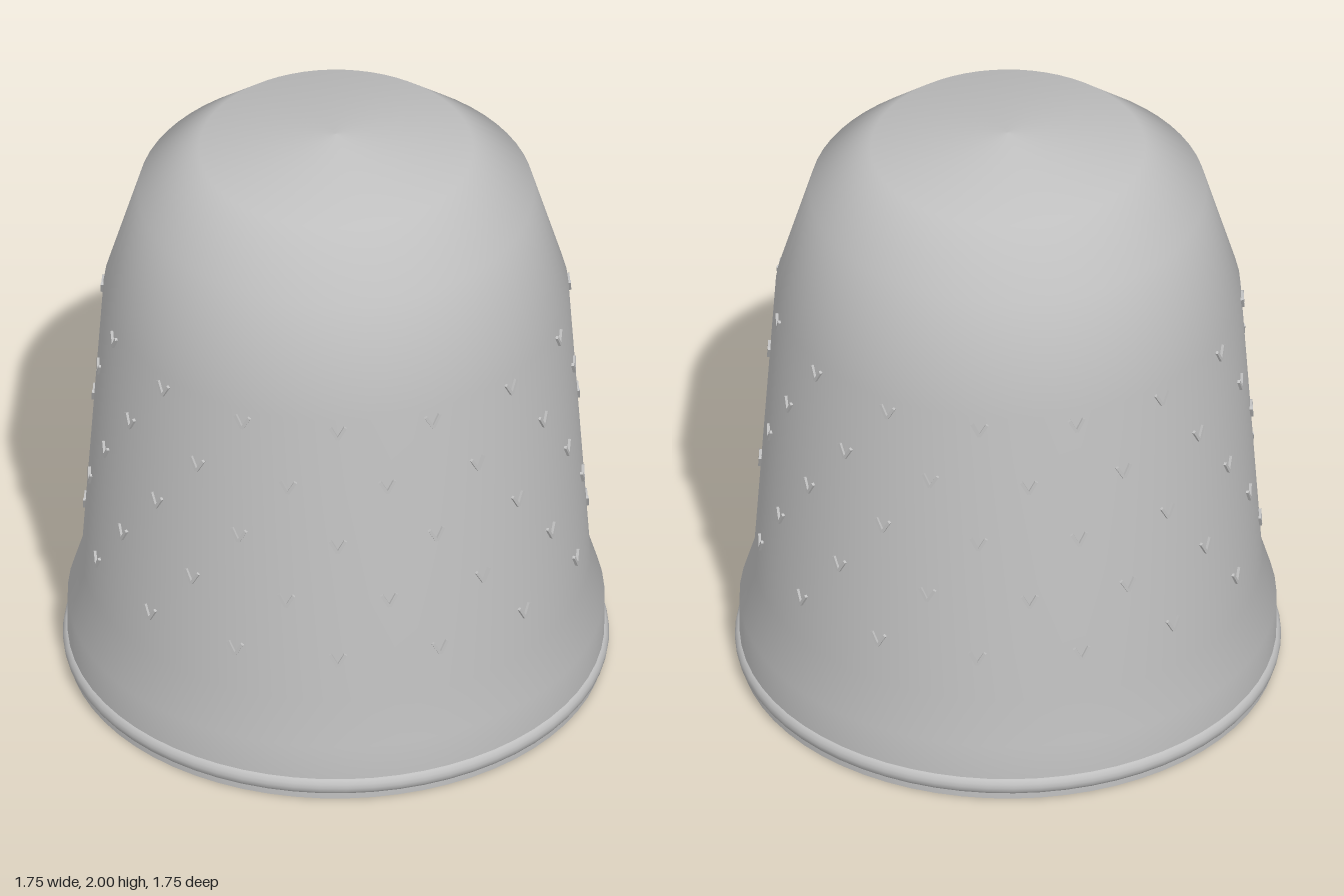
import * as THREE from 'three';

export function createModel() {
  const group = new THREE.Group();
  const silver = new THREE.MeshStandardMaterial({ color: 0xc0c0c0, side: THREE.DoubleSide });
  silver.name = 'silver';

  // Thin open shell, profile from the mouth up to the crown
  const profile = [
    [0.86, 0], [0.86, 0.2], [0.815, 0.35], [0.745, 1.4],
    [0.635, 1.775], [0.44, 1.94], [0, 2],
  ].map(([r, y]) => new THREE.Vector2(r, y));
  const shell = new THREE.Mesh(new THREE.LatheGeometry(profile, 64), silver);
  shell.name = 'shell';
  group.add(shell);

  // Rolled rim around the mouth
  const rim = new THREE.Mesh(new THREE.TorusGeometry(0.841, 0.034, 16, 64), silver);
  rim.name = 'rim';
  rim.rotation.x = Math.PI / 2;
  rim.position.y = 0.048;
  group.add(rim);

  // Small V marks: five staggered rows of fifteen, set through the wall
  const marks = new THREE.Group();
  marks.name = 'gripMarks';
  const bar = new THREE.BoxGeometry(0.01, 0.05, 0.016);
  const slope = (0.815 - 0.745) / 1.05;
  const count = 15;
  for (let row = 0; row < 5; row++) {
    const y = 0.505 + row * 0.2125;
    const radius = 0.815 - (y - 0.35) * slope;
    for (let i = 0; i < count; i++) {
      const angle = ((i + (row % 2) / 2) / count) * Math.PI * 2;
      const mark = new THREE.Group();
      mark.name = 'gripMark';
      for (const side of [-1, 1]) {
        const stroke = new THREE.Mesh(bar, silver);
        stroke.name = 'stroke';
        stroke.position.x = side * 0.0125;
        stroke.rotation.z = -side * 0.5;
        mark.add(stroke);
      }
      mark.position.set(Math.cos(angle) * radius, y, Math.sin(angle) * radius);
      // Face outward and lean with the wall
      mark.rotation.set(-Math.atan(slope), Math.PI / 2 - angle, 0, 'YXZ');
      marks.add(mark);
    }
  }
  group.add(marks);

  return group;
}
